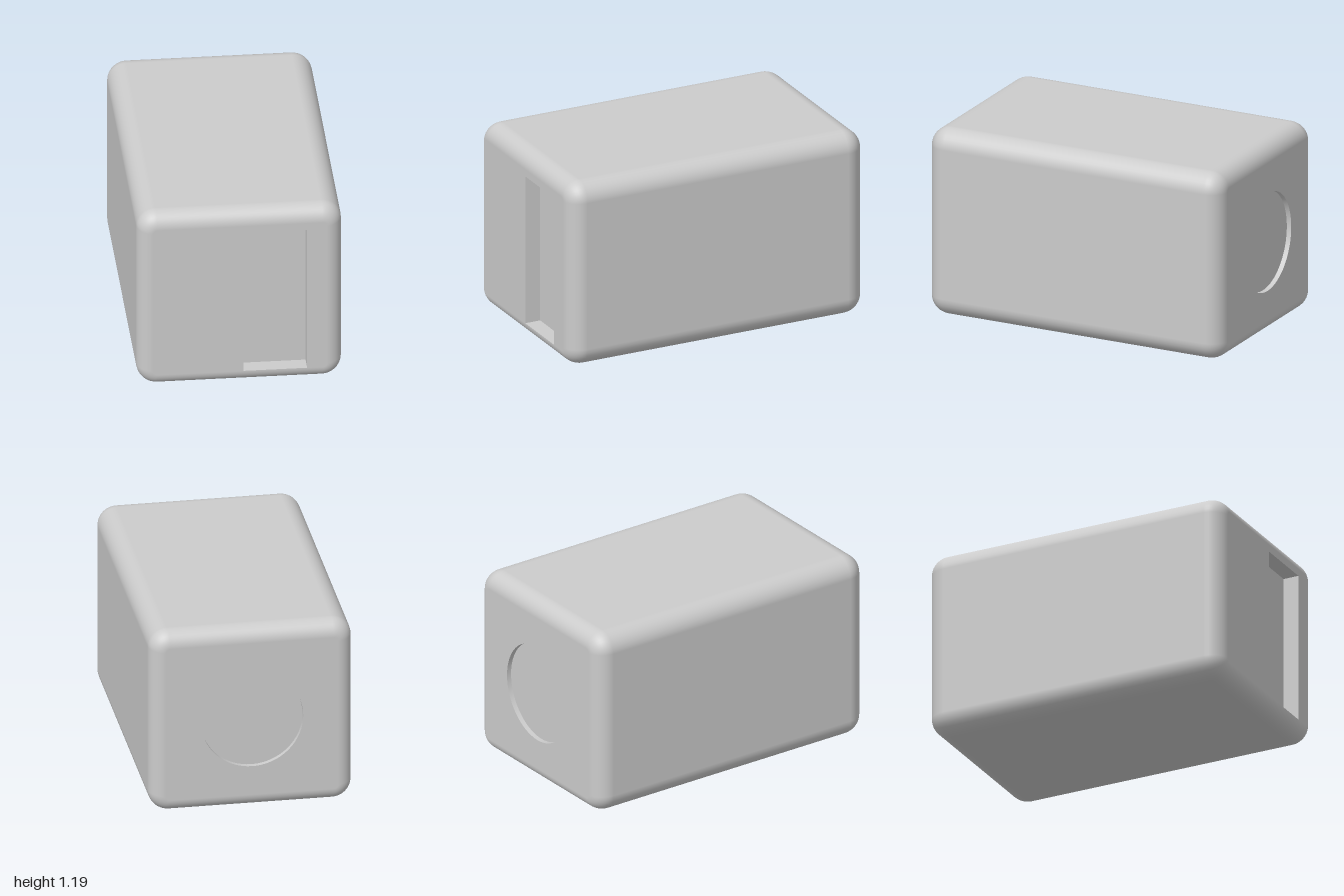
import * as THREE from 'three';
import { toCreasedNormals } from 'three/addons/utils/BufferGeometryUtils.js';

const HX = 0.62, HY = 0.595, HZ = 1, R = 0.12; // half sizes and edge radius
const LIP = Math.asin(0.026 / R);              // angle at which the flat end faces begin
const CORNER = 8, EDGE = 10;

const grey = new THREE.MeshStandardMaterial({ color: 0xcccccc });

function addMesh(parent, name, geometry) {
  const mesh = new THREE.Mesh(geometry, grey);
  mesh.name = name;
  parent.add(mesh);
}

// Rounded rectangle: points and outward directions, counter-clockwise
function outline(radius) {
  const points = [];
  for (let q = 0; q < 4; q++) {
    const sx = q === 0 || q === 3 ? 1 : -1, sy = q < 2 ? 1 : -1;
    for (let k = 0; k <= CORNER; k++) {
      const a = (q + k / CORNER) * Math.PI / 2;
      const c = Math.cos(a), s = Math.sin(a);
      points.push({ x: sx * (HX - R) + radius * c, y: sy * (HY - R) + radius * s, c, s });
    }
  }
  return points;
}

// Four sides and all rounded edges, lofted from front to back
function shellGeometry() {
  const pos = [], nor = [], idx = [];
  const rows = 2 * (EDGE + 1), n = 4 * (CORNER + 1);
  for (let i = 0; i < rows; i++) {
    const front = i <= EDGE, t = (front ? i : rows - 1 - i) / EDGE, dir = front ? 1 : -1;
    const phi = LIP + t * (Math.PI / 2 - LIP), tilt = t * Math.PI / 2;
    const z = dir * (HZ - R + R * Math.cos(phi) / Math.cos(LIP));
    for (const p of outline(R * Math.sin(phi))) {
      pos.push(p.x, p.y, z);
      nor.push(p.c * Math.sin(tilt), p.s * Math.sin(tilt), dir * Math.cos(tilt));
    }
  }
  for (let i = 0; i < rows - 1; i++) {
    for (let j = 0; j < n; j++) {
      const a = i * n + j, b = i * n + (j + 1) % n, c = a + n, d = b + n;
      idx.push(a, c, b, b, c, d);
    }
  }
  const g = new THREE.BufferGeometry();
  g.setAttribute('position', new THREE.Float32BufferAttribute(pos, 3));
  g.setAttribute('normal', new THREE.Float32BufferAttribute(nor, 3));
  g.setIndex(idx);
  return g;
}

// Inward-facing walls of a recess, running back from z = HZ
function wallGeometry(points, depth) {
  const pos = [];
  points.forEach((p, i) => {
    const q = points[(i + 1) % points.length], z0 = HZ, z1 = HZ - depth;
    pos.push(p.x, p.y, z0, q.x, q.y, z0, p.x, p.y, z1);
    pos.push(q.x, q.y, z0, q.x, q.y, z1, p.x, p.y, z1);
  });
  const g = new THREE.BufferGeometry();
  g.setAttribute('position', new THREE.Float32BufferAttribute(pos, 3));
  return toCreasedNormals(g, Math.PI / 6);
}

// Flat end face with one recess cut into it, built facing +z
function endFace(name, recessName, points, depth) {
  const group = new THREE.Group();
  group.name = name;
  const rim = outline(R * Math.sin(LIP)).map(p => new THREE.Vector2(p.x, p.y));
  const face = new THREE.Shape(rim);
  face.holes.push(new THREE.Path(points));
  addMesh(group, name + 'Panel', new THREE.ShapeGeometry(face).translate(0, 0, HZ));
  addMesh(group, recessName + 'Walls', wallGeometry(points, depth));
  addMesh(group, recessName + 'Floor',
    new THREE.ShapeGeometry(new THREE.Shape(points)).translate(0, 0, HZ - depth));
  return group;
}

export function createModel() {
  const model = new THREE.Group();
  model.name = 'roundedCase';
  const body = new THREE.Group();
  body.name = 'body';
  body.position.y = HY;
  model.add(body);

  addMesh(body, 'roundedShell', shellGeometry());

  // Tall rectangular slot, off-centre in the front
  const slot = [[0.02, 0.095], [0.405, 0.095], [0.405, 1.05], [0.02, 1.05]]
    .map(([x, y]) => new THREE.Vector2(x, y - HY));
  body.add(endFace('frontFace', 'slot', slot, 0.1));

  // Shallow round recess in the middle of the back
  const circle = Array.from({ length: 64 }, (_, i) => {
    const a = i / 64 * Math.PI * 2;
    return new THREE.Vector2(0.312 * Math.cos(a), 0.312 * Math.sin(a));
  });
  const back = endFace('backFace', 'roundRecess', circle, 0.03);
  back.rotation.y = Math.PI;
  body.add(back);

  return model;
}
